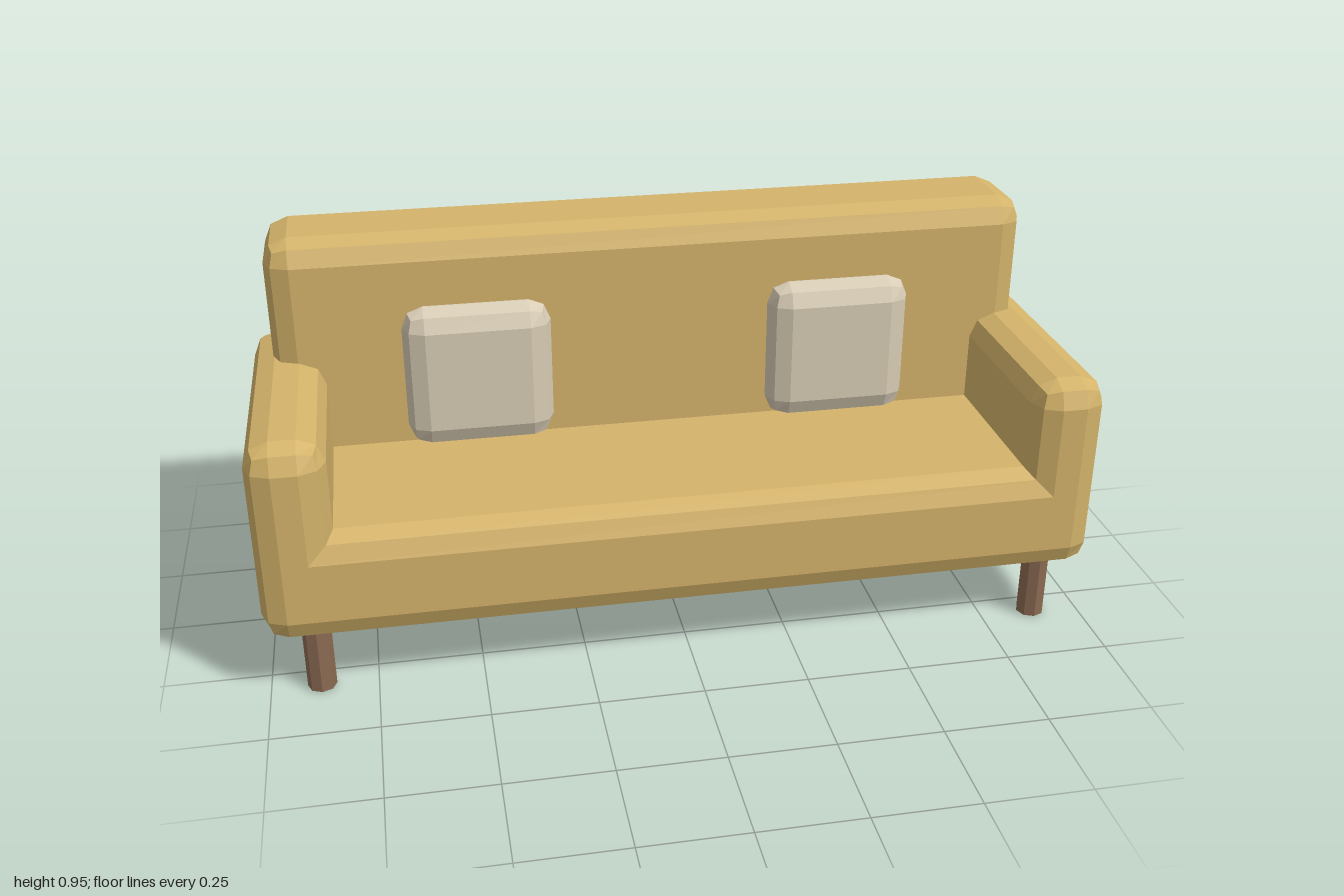
import * as THREE from 'three';
import { RoundedBoxGeometry } from 'three/addons/geometries/RoundedBoxGeometry.js';

const material = (color) => new THREE.MeshStandardMaterial({ color, flatShading: true });

export function createModel() {
  const sofa = new THREE.Group();
  sofa.name = 'sofa';
  const fabric = material(0xd4b36a);
  const pillowFabric = material(0xd8ccb5);
  const wood = material(0x8b6b52);

  const add = (name, geometry, mat, x, y, z) => {
    const mesh = new THREE.Mesh(geometry, mat);
    mesh.name = name;
    mesh.position.set(x, y, z);
    sofa.add(mesh);
  };

  // Bevelled box given by its lower and upper corners
  const softBox = (name, mat, radius, [x0, y0, z0], [x1, y1, z1]) =>
    add(name, new RoundedBoxGeometry(x1 - x0, y1 - y0, z1 - z0, 1, radius), mat,
      (x0 + x1) / 2, (y0 + y1) / 2, (z0 + z1) / 2);

  // Seat and backrest
  softBox('seat', fabric, 0.06, [-1, 0.153, -0.373], [1, 0.42, 0.373]);
  softBox('backrest', fabric, 0.06, [-0.943, 0.153, -0.373], [0.943, 0.95, -0.096]);

  // Armrests, pillows and legs, mirrored left and right
  const legGeometry = new THREE.CylinderGeometry(0.034, 0.034, 0.17, 8);
  for (const [side, s] of [['left', 1], ['right', -1]]) {
    const arm = s * 0.91;
    softBox(`${side}Armrest`, fabric, 0.06, [arm - 0.09, 0.153, -0.373], [arm + 0.09, 0.65, 0.373]);

    const pillow = s * 0.452;
    softBox(`${side}Pillow`, pillowFabric, 0.053, [pillow - 0.18, 0.422, -0.135], [pillow + 0.18, 0.782, -0.025]);

    add(`${side}FrontLeg`, legGeometry, wood, s * 0.882, 0.085, 0.307);
    add(`${side}BackLeg`, legGeometry, wood, s * 0.882, 0.085, -0.274);
  }
  return sofa;
}
